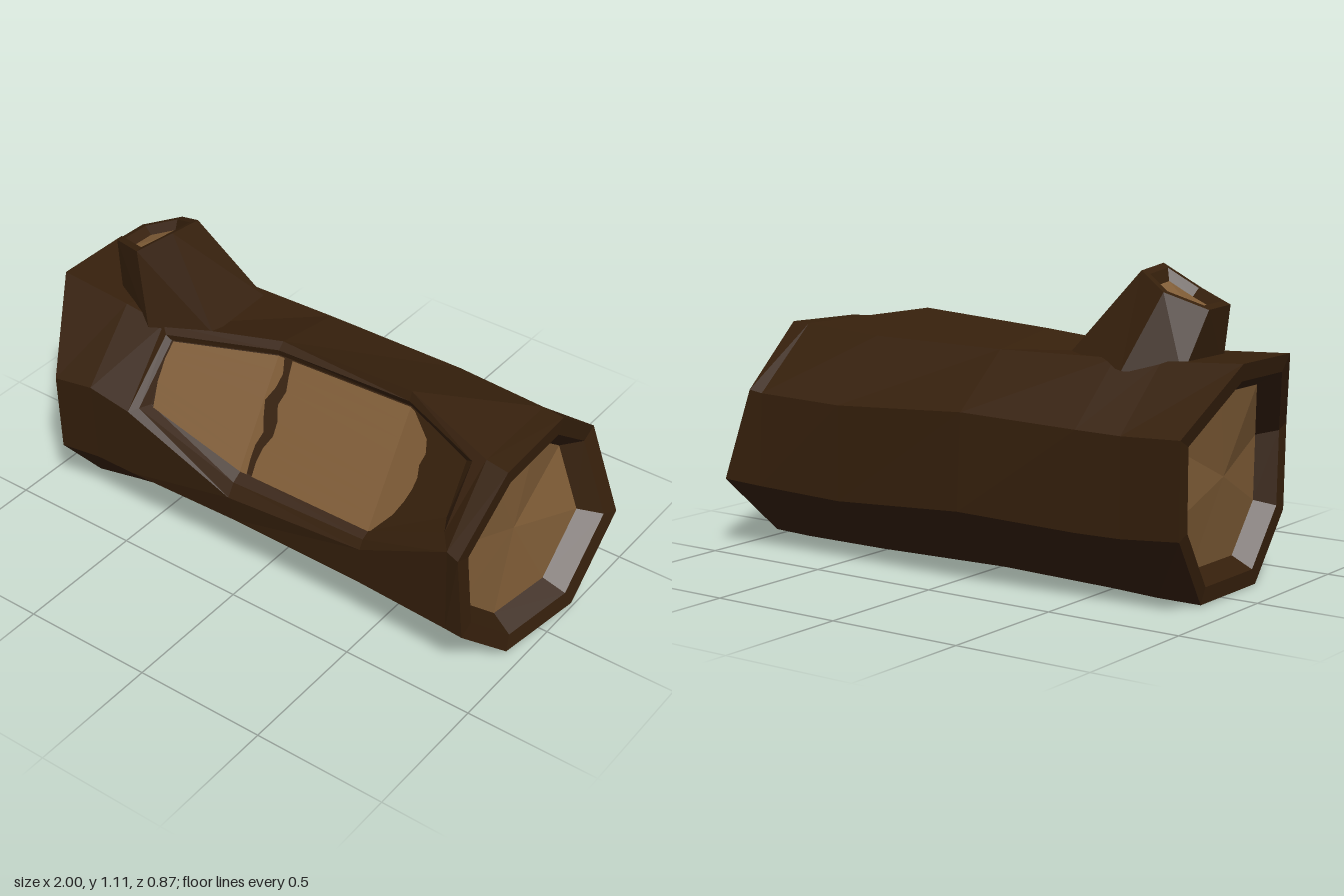
import * as THREE from 'three';

const V = (x, y, z) => new THREE.Vector3(x, y, z);
const bark = new THREE.MeshStandardMaterial({ color: 0x36200c });
bark.name = 'bark brown';
const wood = new THREE.MeshStandardMaterial({ color: 0x805d37 });
wood.name = 'cut wood';

// Collects flat-shaded faces; rings run clockwise seen from the end they are lofted towards
class Faces {
  constructor() { this.p = []; }
  tri(...pts) { for (const v of pts) this.p.push(v.x, v.y, v.z); }
  quad(a, b, c, d) { this.tri(a, b, c); this.tri(a, c, d); }
  loft(a, b, skip = -1) {
    a.forEach((v, j) => {
      const k = (j + 1) % a.length;
      if (j !== skip) this.quad(v, b[j], b[k], a[k]);
    });
    return this;
  }
  fan(ring, centre) {
    ring.forEach((v, j) => this.tri(v, centre, ring[(j + 1) % ring.length]));
    return this;
  }
  mesh(name, material) {
    const g = new THREE.BufferGeometry();
    g.setAttribute('position', new THREE.Float32BufferAttribute(this.p, 3));
    g.computeVertexNormals();
    const m = new THREE.Mesh(g, material);
    m.name = name;
    return m;
  }
}

const inset = (ring, c, s, shift) => ring.map(v => v.clone().sub(c).multiplyScalar(s).add(c).add(shift));
const points = rows => rows.map(r => V(...r));
const station = (x, rows) => rows.map(([y, z]) => V(x, y, z));

// Octagonal trunk sections: top front, top back, back upper, back lower,
// bottom back, bottom front, front lower, front upper
const rings = [
  points([[-1, .82, .19], [-1, .82, -.12], [-.93, .6, -.39], [-.93, .27, -.39],
    [-.87, .005, -.15], [-.86, 0, .23], [-.86, .23, .42], [-.86, .54, .43]]),
  station(-.7, [[.805, .2], [.805, -.14], [.59, -.385], [.25, -.385], [.005, -.15], [0, .19], [.24, .405], [.56, .42]]),
  station(-.53, [[.785, .2], [.805, -.16], [.595, -.395], [.25, -.395], [.015, -.16], [.015, .17], [.245, .41], [.525, .415]]),
  station(-.07, [[.845, .1], [.8, -.18], [.61, -.41], [.27, -.432], [.025, -.16], [.02, .16], [.25, .405], [.36, .425]]),
  station(.48, [[.878, .115], [.805, -.18], [.58, -.405], [.235, -.41], [.015, -.16], [.005, .17], [.235, .4], [.385, .405]]),
  station(.84, [[.815, .21], [.82, -.14], [.59, -.405], [.25, -.425], [.015, -.16], [0, .175], [.23, .415], [.57, .425]]),
  points([[.93, .81, .22], [.925, .82, -.13], [.89, .6, -.415], [1, .26, -.435],
    [1, .02, -.16], [.94, 0, .17], [.91, .23, .42], [.89, .56, .435]]),
];

// Chipped hollow in the front: outline and floor height
const colX = [-.48, -.07, .48, .76], topY = [.745, .8, .815, .77], lowY = [.54, .435, .435, .6];
const along = (x, ys) => {
  let i = 0;
  while (i < 2 && x > colX[i + 1]) i++;
  return THREE.MathUtils.mapLinear(x, colX[i], colX[i + 1], ys[i], ys[i + 1]);
};
const floorPoint = (x, y, lift = 0) =>
  V(x, y, .122 + (.8 - y) * .63 + .06 * Math.max(0, (-.07 - x) / .41, (x - .48) / .28) + lift);

// Thin wood plate in the hollow, ragged left and right edges given top to bottom
function chipPlate(name, left, right, breakX) {
  const f = new Faces(), n = left.length - 1;
  const cols = left.map((l, i) => [l, breakX, right[i]].map(x =>
    floorPoint(x, THREE.MathUtils.lerp(along(x, topY), along(x, lowY), i / n), .006)));
  for (let i = 0; i < n; i++)
    for (let c = 0; c < 2; c++) f.quad(cols[i][c], cols[i + 1][c], cols[i + 1][c + 1], cols[i][c + 1]);
  return f.mesh(name, wood);
}

export function createModel() {
  const log = new THREE.Group();
  log.name = 'hollowLog';

  // Trunk bark, leaving the front hollow open
  const trunk = new Faces();
  for (let i = 0; i < rings.length - 1; i++) trunk.loft(rings[i], rings[i + 1], i >= 2 && i <= 4 ? 7 : -1);

  // Hollow rim, wall and floor
  const mid = rings.slice(2, 6);
  const rim = [...mid.map(r => r[0]), ...mid.map(r => r[7]).reverse()];
  const top = colX.map((x, i) => floorPoint(x, topY[i]));
  const low = colX.map((x, i) => floorPoint(x, lowY[i]));
  const floor = [...top, ...[...low].reverse()];
  const lip = rim.map((v, i) => v.clone().lerp(floor[i], .6).add(V(0, .004, .014)));
  trunk.loft(rim, lip).loft(lip, floor);
  for (let i = 0; i < 3; i++) trunk.quad(low[i], low[i + 1], top[i + 1], top[i]);

  // Sawn ends: bark lip, recessed wall and wood face
  const ends = [[rings[6], 1, 'rightCutFace'], [[...rings[0]].reverse(), -1, 'leftCutFace']];
  for (const [outer, s, name] of ends) {
    const c = V(s * .93, .4, .01);
    const edge = inset(outer, c, .855, V(-s * .005, 0, 0));
    const face = inset(outer, c, .742, V(-s * .08, 0, 0));
    trunk.loft(outer, edge).loft(edge, face);
    log.add(new Faces().fan(face, V(s * .85, .41, .02)).mesh(name, wood));
  }
  log.add(trunk.mesh('trunkBark', bark));

  // Wood showing in the hollow, split by a dark crack
  log.add(chipPlate('chippedWoodLeft',
    [-.47, -.475, -.48, -.48, -.48, -.48, -.475, -.47, -.465],
    [-.045, -.03, -.04, -.065, -.05, -.03, -.045, -.045, -.04], -.07));
  log.add(chipPlate('chippedWoodRight',
    [-.01, -.005, .005, -.01, .01, .012, -.012, -.02, -.018],
    [.5, .585, .6, .59, .6, .595, .58, .555, .49], .48));

  // Stub branch with a hollowed tip
  const base = points([[-.58, .77, -.2], [-.335, .81, -.13], [-.335, .8, .16],
    [-.58, .76, .225], [-.775, .76, .13], [-.775, .76, -.13]]);
  const tip = points([[-.68, 1.03, -.1], [-.555, 1.09, -.04], [-.555, 1.105, .1],
    [-.67, 1.02, .165], [-.82, .98, .1], [-.82, .975, -.04]]);
  const c = V(-.683, 1.033, .03);
  const tipEdge = inset(tip, c, .8, V(0, 0, 0));
  const tipFace = inset(tip, c, .61, V(.01, -.03, 0));
  log.add(new Faces().loft(base, tip).loft(tip, tipEdge).loft(tipEdge, tipFace).mesh('branchBark', bark));
  log.add(new Faces().fan(tipFace, V(-.673, 1.003, .03)).mesh('branchCutFace', wood));
  return log;
}
